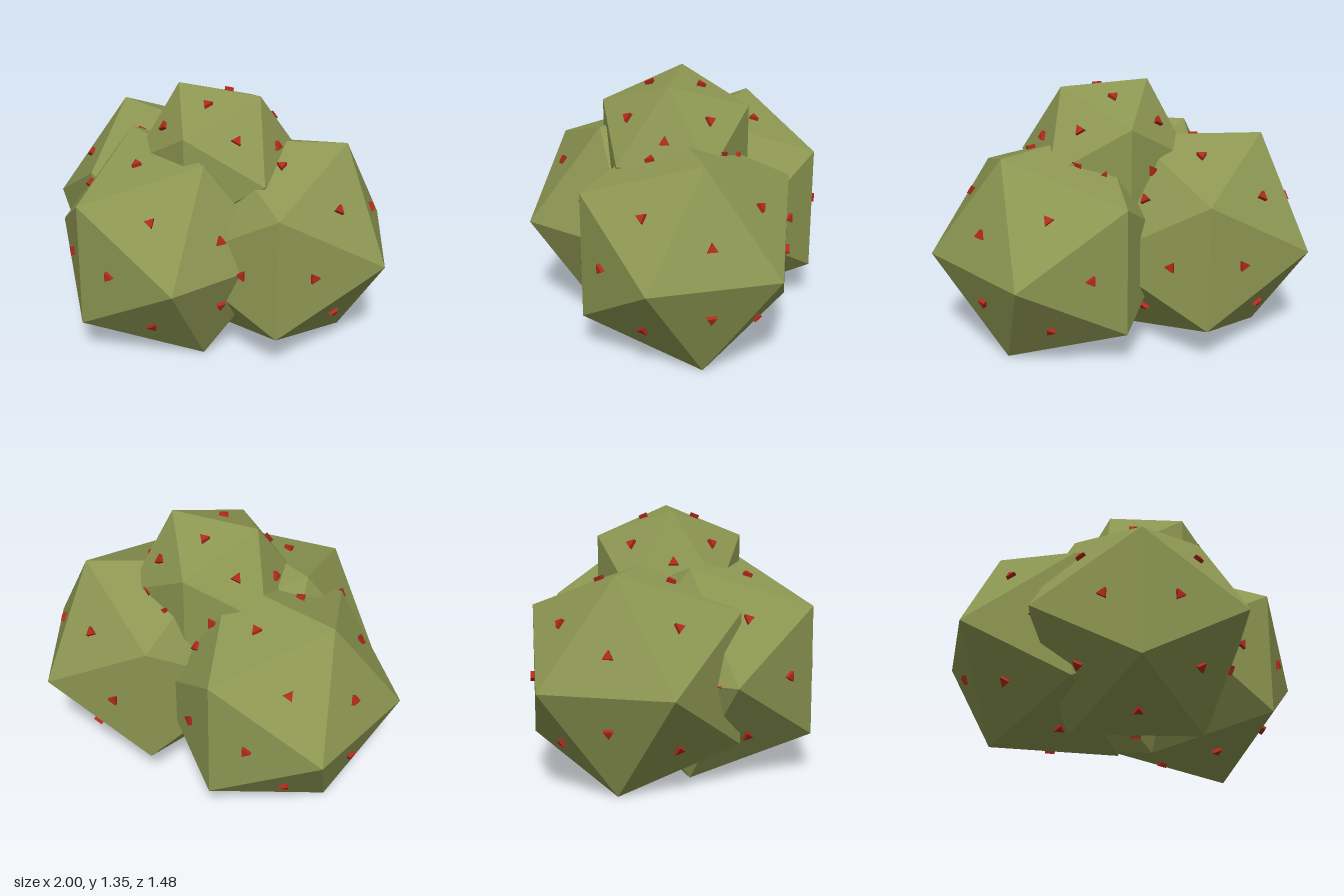
import * as THREE from 'three';

const green = new THREE.MeshStandardMaterial({ color: 0x8d9752, flatShading: true });
const red = new THREE.MeshStandardMaterial({ color: 0xb02a1c, flatShading: true });

// Triangular stud, half of it sunk into the face it sits on
const studGeometry = new THREE.CylinderGeometry(0.03, 0.03, 0.04, 3);

// One stud at the middle of each face, its corners lined up with the face's corners
function addStuds(pad, geometry) {
  const pos = geometry.attributes.position;
  for (let i = 0; i < pos.count; i += 3) {
    const [a, b, c] = [0, 1, 2].map((k) => new THREE.Vector3().fromBufferAttribute(pos, i + k));
    const centre = a.clone().add(b).add(c).divideScalar(3);
    const normal = centre.clone().normalize();
    const toCorner = a.clone().sub(centre).normalize();
    const side = normal.clone().cross(toCorner);
    const stud = new THREE.Mesh(studGeometry, red);
    stud.name = 'stud';
    stud.quaternion.setFromRotationMatrix(new THREE.Matrix4().makeBasis(side, normal, toCorner));
    stud.position.copy(centre);
    pad.add(stud);
  }
}

// Twenty-sided body with its studs, turned about the vertical
function makePad(name, radius, position, turn) {
  const pad = new THREE.Group();
  pad.name = name;
  const geometry = new THREE.IcosahedronGeometry(radius, 0);
  const body = new THREE.Mesh(geometry, green);
  body.name = name + 'Body';
  pad.add(body);
  addStuds(pad, geometry);
  pad.position.set(...position);
  pad.rotation.y = turn;
  return pad;
}

export function createModel() {
  const model = new THREE.Group();
  model.name = 'studdedCluster';
  // Three large bodies on the ground, one smaller on top
  model.add(
    makePad('rightPad', 0.638, [-0.406, 0.5425, -0.183], -0.18),
    makePad('frontPad', 0.638, [-0.104, 0.5425, 0.21], -0.35),
    makePad('leftPad', 0.638, [0.36, 0.5425, -0.18], 0.525),
    makePad('topPad', 0.45, [0.055, 0.967, -0.035], 0.12)
  );
  return model;
}
